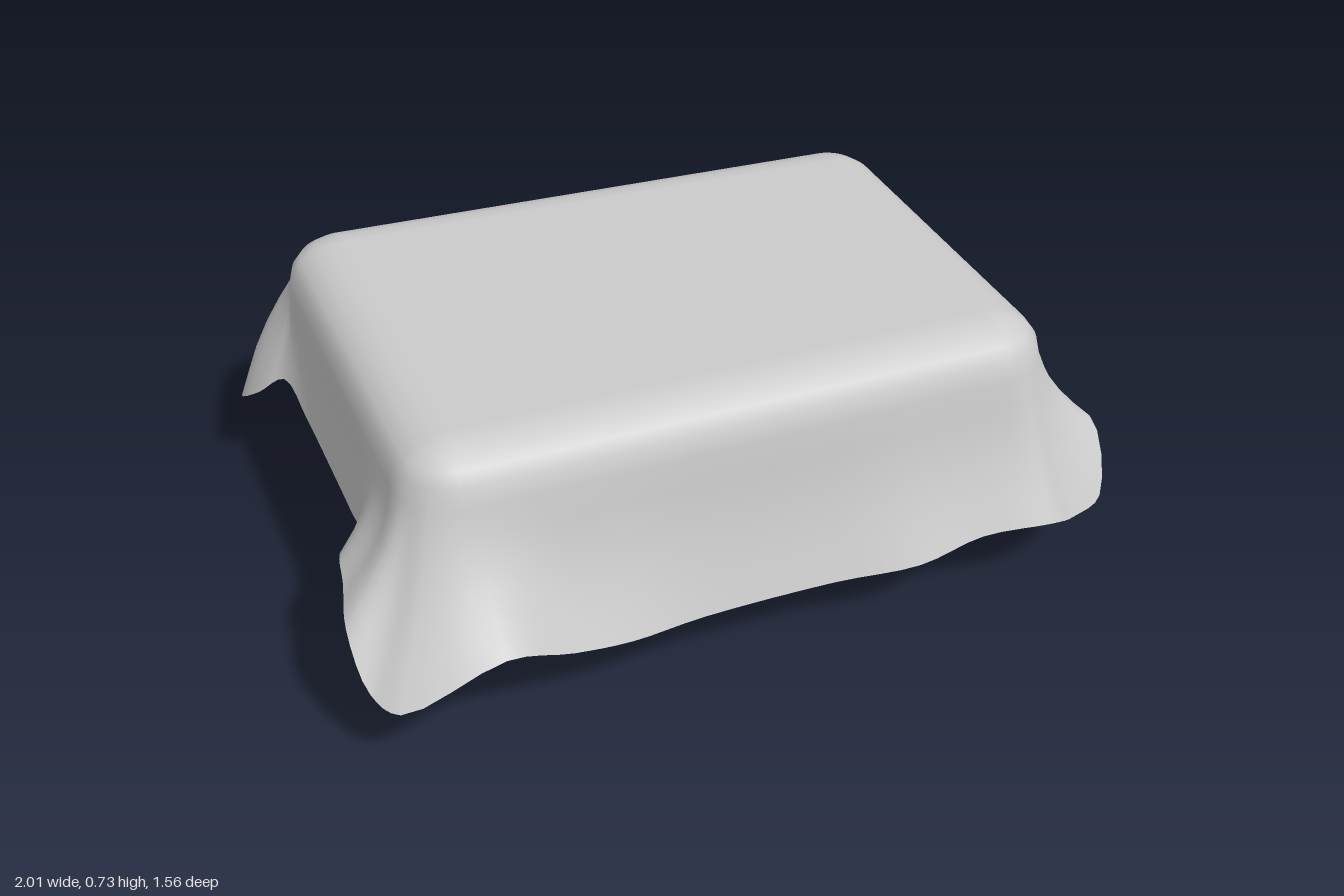
import * as THREE from 'three';

const grey = { color: 0xcccccc };

// Hem of the cloth [x, y, z]: left side, back, right side, front
const HEM = [
  [1, 0.38, 0.52], [0.93, 0.36, 0.45], [0.86, 0.39, 0.38], [0.84, 0.31, 0.33], [0.85, 0.3, 0.1], [0.86, 0.3, -0.1],
  [0.88, 0.31, -0.23], [0.94, 0.4, -0.33], [0.99, 0.37, -0.43], [0.97, 0.33, -0.53], [0.94, 0.21, -0.57],
  [0.89, 0.2, -0.65], [0.8, 0.2, -0.69], [0.62, 0.23, -0.7], [0.5, 0.24, -0.65], [0.42, 0.23, -0.66],
  [0.22, 0.21, -0.73], [0, 0.2, -0.71], [-0.2, 0.2, -0.71], [-0.38, 0.21, -0.69], [-0.52, 0.22, -0.71],
  [-0.7, 0.23, -0.78], [-0.8, 0.23, -0.78], [-0.91, 0.23, -0.71], [-0.98, 0.23, -0.63], [-0.95, 0.3, -0.52],
  [-0.89, 0.37, -0.45], [-0.87, 0.33, -0.3], [-0.86, 0.3, -0.1], [-0.86, 0.3, 0.1], [-0.87, 0.33, 0.23],
  [-0.95, 0.38, 0.35], [-0.97, 0.37, 0.45], [-1, 0.34, 0.58], [-0.98, 0.22, 0.68], [-0.93, 0.2, 0.75],
  [-0.68, 0.3, 0.775], [-0.5, 0.22, 0.72], [-0.35, 0.2, 0.71], [-0.15, 0.19, 0.68], [0.2, 0.19, 0.68],
  [0.42, 0.2, 0.71], [0.6, 0.23, 0.7], [0.78, 0.24, 0.73], [0.88, 0.2, 0.68], [0.97, 0.22, 0.65],
];

// Cloth: flat core, rounded shoulder, then a drape running out to the hem
function makeCloth() {
  const N = 184, CX = 0.69, CZ = 0.45;
  const shoulder = [[0, 0.73], [0.04, 0.727], [0.08, 0.715], [0.115, 0.692], [0.138, 0.66], [0.15, 0.61]];
  const drape = [0.2, 0.4, 0.6, 0.8, 1];
  const { clamp } = THREE.MathUtils;
  const curve = new THREE.CatmullRomCurve3(HEM.map(p => new THREE.Vector3(...p)), true, 'centripetal');
  const rings = shoulder.length + drape.length;
  const pos = [], index = [];
  const columns = [];
  for (let i = 0; i < N; i++) {
    const hem = curve.getPoint(i / N);
    // The back edge of the top runs slightly askew
    const x = clamp(hem.x, -CX, CX);
    const core = new THREE.Vector3(x, 0, clamp(hem.z, 0.05 * x - CZ, CZ));
    const out = new THREE.Vector3(hem.x - core.x, 0, hem.z - core.z);
    const flare = out.length() - 0.15;
    out.normalize();
    const column = shoulder.map(([r, y]) => core.clone().addScaledVector(out, r).setY(y));
    const edge = column[column.length - 1];
    // The drape hangs hollow along the sides and billows at the back corners
    const corner = 2 * Math.abs(out.x * out.z);
    const bulge = flare * THREE.MathUtils.lerp(-0.2, out.z < 0 ? 0.15 : -0.1, corner);
    drape.forEach(t => column.push(
      edge.clone().lerp(hem, t).addScaledVector(out, bulge * Math.sin(Math.PI * t))));
    columns.push(column);
  }
  for (let r = 0; r < rings; r++) columns.forEach(c => pos.push(c[r].x, c[r].y, c[r].z));
  for (let r = 0; r < rings - 1; r++) {
    for (let i = 0; i < N; i++) {
      const j = (i + 1) % N;
      const a = r * N + i, b = a + N, c = (r + 1) * N + j, d = r * N + j;
      index.push(a, b, c, a, c, d);
    }
  }
  const centre = pos.length / 3;
  pos.push(0, 0.73, 0);
  for (let i = 0; i < N; i++) index.push(centre, i, (i + 1) % N);

  const geo = new THREE.BufferGeometry();
  geo.setAttribute('position', new THREE.Float32BufferAttribute(pos, 3));
  geo.setIndex(index);
  geo.computeVertexNormals();
  const cloth = new THREE.Mesh(geo, new THREE.MeshStandardMaterial({ ...grey, side: THREE.DoubleSide }));
  cloth.name = 'tablecloth';
  return cloth;
}

// Four-sided shaped leg, a little wider than deep, with a mounting plate on top
function makeLeg() {
  const mat = new THREE.MeshStandardMaterial({ ...grey, flatShading: true });
  const leg = new THREE.Group();
  // [depth, height]
  const profile = [[0, 0], [0.068, 0], [0.07, 0.015], [0.055, 0.05], [0.088, 0.235], [0.088, 0.25],
    [0.075, 0.265], [0.085, 0.28], [0.135, 0.45], [0.085, 0.56]];
  const postGeo = new THREE.LatheGeometry(
    profile.map(([w, y]) => new THREE.Vector2(w / Math.SQRT2, y)), 4);
  postGeo.rotateY(Math.PI / 4).scale(1.15, 1, 1);
  const post = new THREE.Mesh(postGeo, mat);
  post.name = 'legPost';
  const plate = new THREE.Mesh(new THREE.BoxGeometry(0.34, 0.07, 0.34), mat);
  plate.position.y = 0.595;
  plate.name = 'legPlate';
  leg.add(post, plate);
  return leg;
}

export function createModel() {
  const model = new THREE.Group();
  model.name = 'coveredTable';
  model.add(makeCloth());
  for (const [side, x] of [['Left', 0.48], ['Right', -0.495]]) {
    for (const [end, z] of [['front', 0.35], ['back', -0.31]]) {
      const leg = makeLeg();
      leg.position.set(x, 0, z);
      leg.name = `${end}${side}Leg`;
      model.add(leg);
    }
  }
  return model;
}
